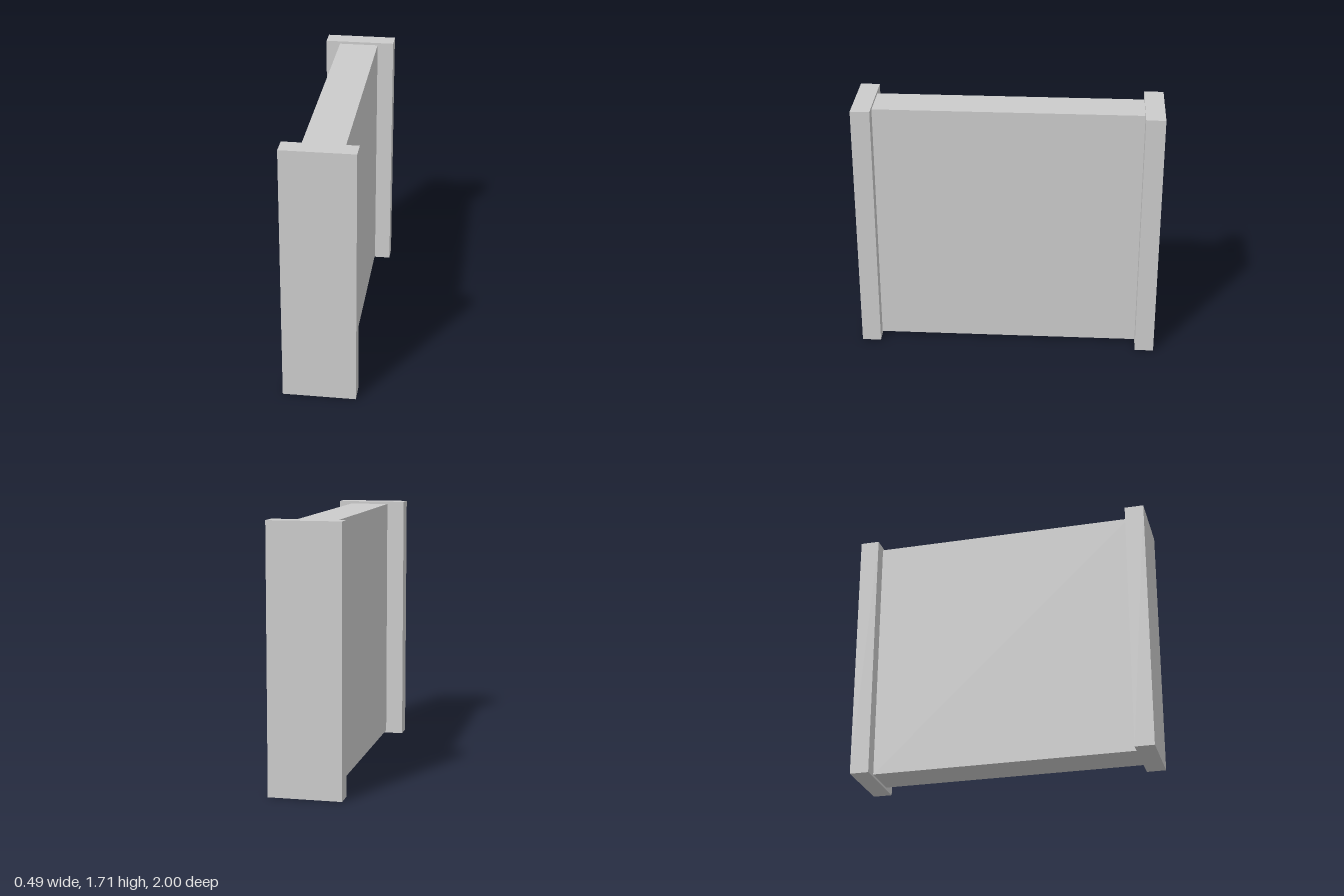
import * as THREE from 'three';

export function createModel() {
  const model = new THREE.Group();
  const material = new THREE.MeshStandardMaterial({ color: 0xcccccc, flatShading: true });

  // Box given by its centre and size
  const addBox = (name, [x, y, z], [w, h, d]) => {
    const mesh = new THREE.Mesh(new THREE.BoxGeometry(w, h, d), material);
    mesh.name = name;
    mesh.position.set(x, y, z);
    model.add(mesh);
  };

  const height = 1.71;
  const postDepth = 0.126;

  // End posts, slightly offset sideways from each other
  for (const [name, side] of [['frontPost', 1], ['backPost', -1]]) {
    addBox(name, [-side * 0.012, height / 2, side * (1 - postDepth / 2)], [0.471, height, postDepth]);
  }

  // Wall panel between the posts, a little shorter at top and bottom
  addBox('wallPanel', [0.005, height / 2, 0], [0.266, height - 0.034, 2 - 2 * postDepth]);

  return model;
}
